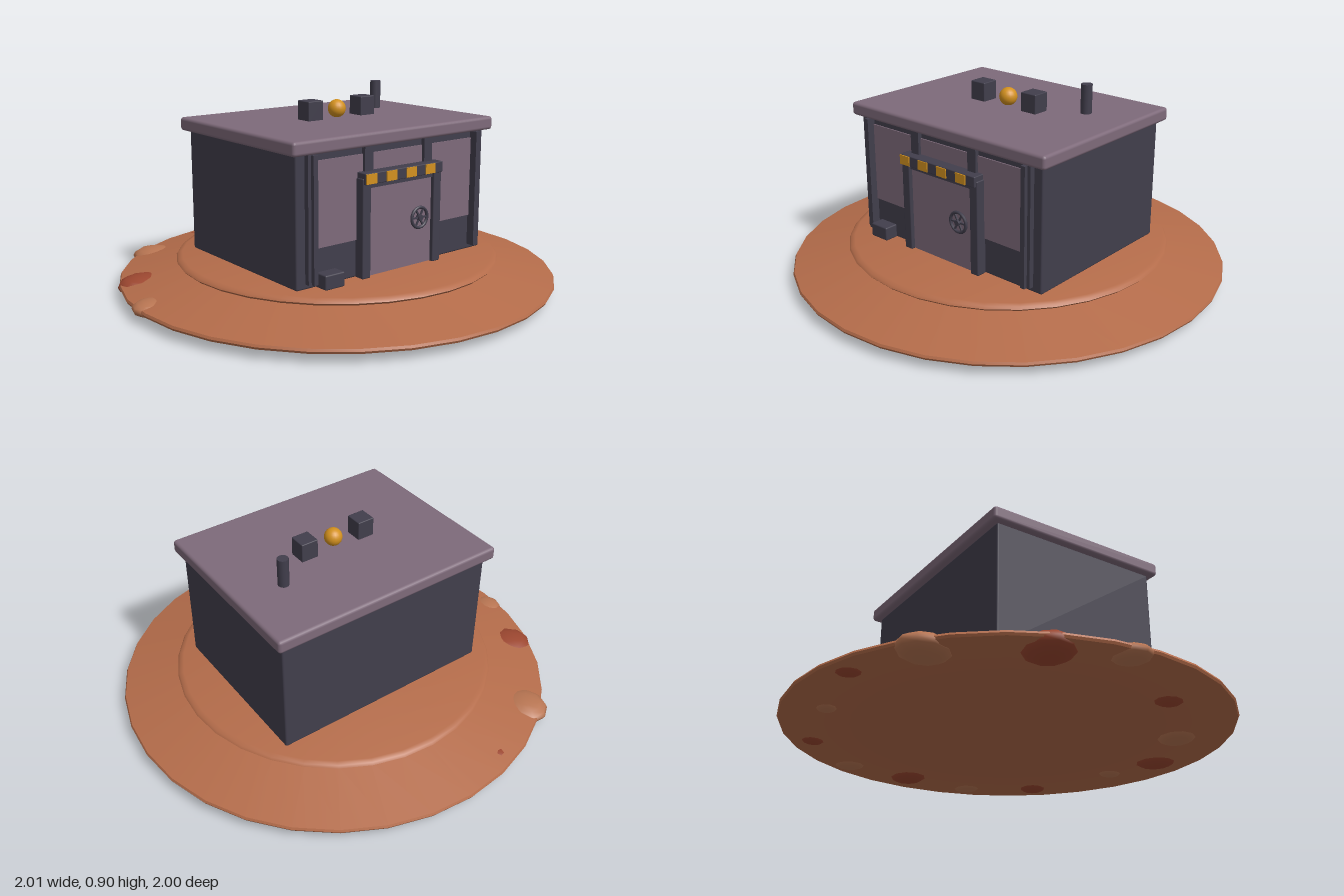
import * as THREE from 'three';
import { RoundedBoxGeometry } from 'three/addons/geometries/RoundedBoxGeometry.js';
import { toCreasedNormals } from 'three/addons/utils/BufferGeometryUtils.js';

const mat = (name, color) => Object.assign(new THREE.MeshStandardMaterial({ color }), { name });

export function createModel() {
  const model = new THREE.Group();
  model.name = 'outpost';
  const soil = mat('soil', 0xb46c4a);
  const rockBrown = mat('brownRock', 0xb87552);
  const rockRed = mat('redRock', 0x9c4730);
  const dark = mat('darkMetal', 0x413e4c);
  const mauve = mat('mauvePanel', 0x7e6a7a);
  const amber = mat('amber', 0xd3911f);

  const add = (name, geometry, material, x = 0, y = 0, z = 0, parent = model) => {
    const mesh = new THREE.Mesh(geometry, material);
    mesh.name = name;
    mesh.position.set(x, y, z);
    parent.add(mesh);
    return mesh;
  };
  // Box given by its limits on each axis, with an optional rounded edge
  const block = (name, material, [x0, x1], [y0, y1], [z0, z1], r = 0) => {
    const size = [x1 - x0, y1 - y0, z1 - z0];
    const geometry = r ? new RoundedBoxGeometry(...size, 2, r) : new THREE.BoxGeometry(...size);
    return add(name, geometry, material, (x0 + x1) / 2, (y0 + y1) / 2, (z0 + z1) / 2);
  };

  // Sloping ground disc with a raised round-edged pad
  const profile = [
    [0, 0.032], [0.97, 0.032], [0.995, 0.04], [1, 0.05], [0.995, 0.06], [0.71, 0.127],
    [0.732, 0.131], [0.742, 0.141], [0.735, 0.151], [0.715, 0.157], [0, 0.157],
  ].map(([r, y]) => new THREE.Vector2(r, y));
  add('ground', toCreasedNormals(new THREE.LatheGeometry(profile, 32), 0.7), soil);

  // Flattened rocks under the rim: x, z, radius
  const rocks = [
    [0.81, -0.07, 0.1], [0.79, -0.4, 0.08], [0.55, -0.69, 0.06], [0.14, -0.8, 0.055],
    [-0.25, -0.88, 0.06], [-0.56, -0.73, 0.115], [-0.81, -0.36, 0.12], [-0.93, -0.08, 0.085],
    [-0.69, 0.32, 0.075], [-0.38, 0.65, 0.1], [-0.06, 0.81, 0.1], [0.2, 0.74, 0.065],
    [0.63, 0.57, 0.08], [0.82, 0.28, 0.075],
  ];
  rocks.forEach(([x, z, r], i) => {
    const rock = add('rock', new THREE.SphereGeometry(1, 10, 8), i % 2 ? rockBrown : rockRed, x, 0.047, z);
    rock.scale.set(r, Math.max(0.03, r * 0.4), r * 0.9);
    rock.rotation.y = i;
  });

  // Main building and roof slab
  block('walls', dark, [-0.53, 0.53], [0.157, 0.715], [-0.402, 0.402], 0.008);
  block('roof', mauve, [-0.562, 0.562], [0.71, 0.77], [-0.435, 0.435], 0.014);

  // Front panels and the posts around them
  block('frontPanel', mauve, [-0.455, 0.455], [0.32, 0.68], [0.401, 0.408]);
  for (const s of [-1, 1]) {
    block('mullion', dark, [s * 0.168 - 0.023, s * 0.168 + 0.023], [0.3, 0.71], [0.4, 0.422]);
    block('outerPost', dark, [s * 0.478 - 0.008, s * 0.478 + 0.008], [0.18, 0.71], [0.4, 0.425]);
    block('innerPost', dark, [s * 0.46 - 0.011, s * 0.46 + 0.011], [0.18, 0.71], [0.4, 0.442]);
    block('doorJamb', dark, [s * 0.202 - 0.022, s * 0.202 + 0.022], [0.157, 0.585], [0.4, 0.45], 0.005);
    block('roofVent', dark, [s * 0.149 - 0.041, s * 0.149 + 0.041], [0.765, 0.856], [-0.041, 0.041], 0.004);
  }

  // Door, lintel and warning stripes
  block('door', mauve, [-0.182, 0.182], [0.16, 0.54], [0.4, 0.432]);
  block('doorHead', dark, [-0.182, 0.182], [0.54, 0.57], [0.4, 0.44]);
  block('lintel', dark, [-0.22, 0.22], [0.56, 0.608], [0.4, 0.461], 0.004);
  for (let i = 0; i < 4; i++) {
    const x = -0.19 + i * 0.111;
    block('warningStripe', amber, [x - 0.028, x + 0.028], [0.563, 0.605], [0.459, 0.466]);
  }

  // Hand wheel on the door
  const wheel = new THREE.Group();
  wheel.name = 'handWheel';
  wheel.position.set(0.105, 0.37, 0.441);
  model.add(wheel);
  add('wheelRim', new THREE.TorusGeometry(0.045, 0.007, 8, 24), dark, 0, 0, 0, wheel);
  add('wheelHub', new THREE.CylinderGeometry(0.013, 0.013, 0.024, 12), dark, 0, 0, 0, wheel).rotation.x = Math.PI / 2;
  for (let i = 0; i < 3; i++) {
    add('wheelSpoke', new THREE.BoxGeometry(0.088, 0.007, 0.007), dark, 0, 0, 0, wheel).rotation.z = (i * Math.PI) / 3;
  }

  // Small crate by the wall, roof lamp and chimney
  block('crate', dark, [-0.432, -0.332], [0.157, 0.22], [0.4, 0.467], 0.006);
  add('roofLamp', new THREE.SphereGeometry(0.041, 20, 14), amber, 0, 0.808, 0);
  add('chimney', new THREE.CylinderGeometry(0.025, 0.025, 0.135, 12), dark, 0.34, 0.833, -0.125);

  return model;
}
